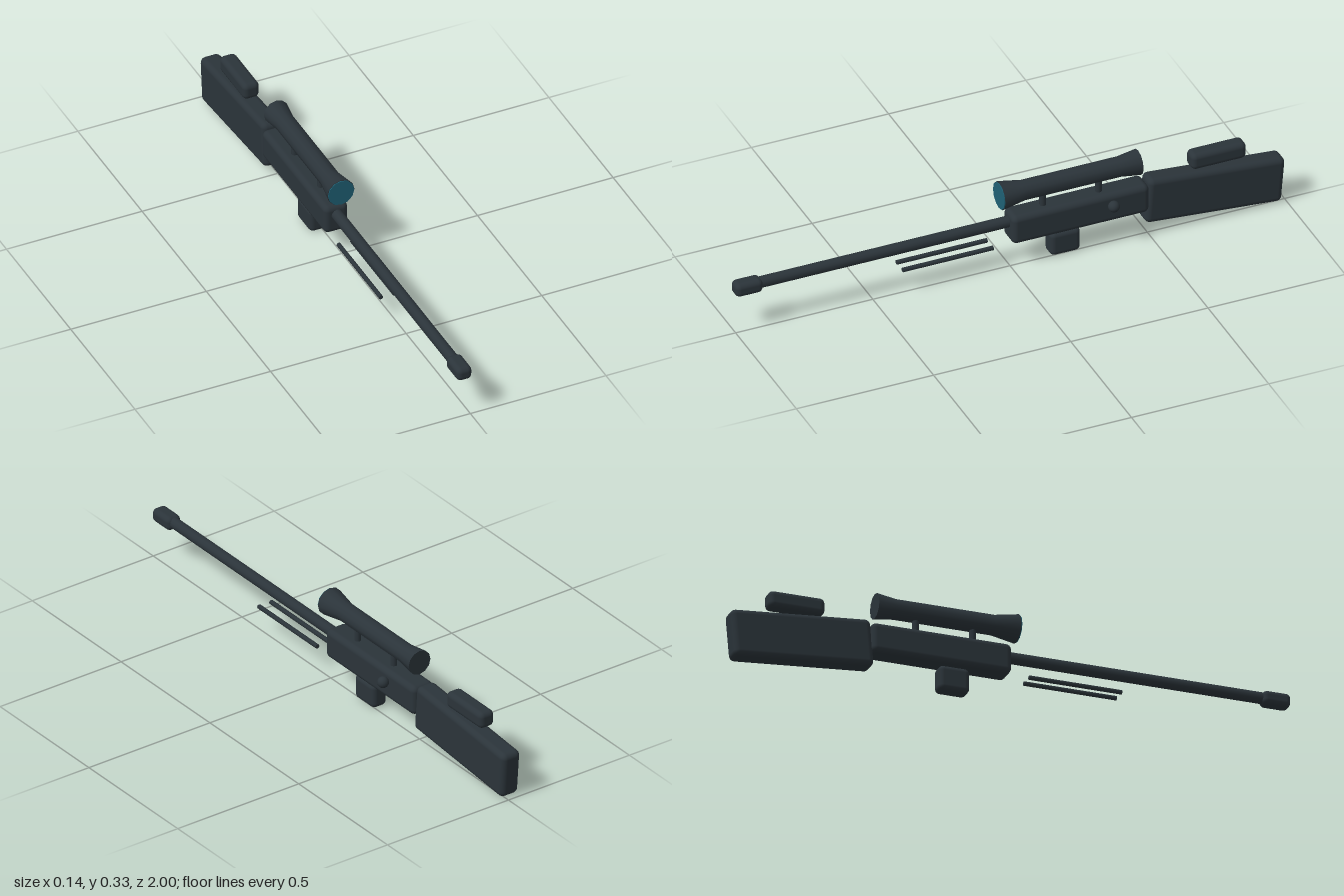
import * as THREE from 'three';
import { RoundedBoxGeometry } from 'three/addons/geometries/RoundedBoxGeometry.js';
import { toCreasedNormals } from 'three/addons/utils/BufferGeometryUtils.js';

export function createModel() {
  const gunmetal = new THREE.MeshStandardMaterial({ color: 0x2b343a });
  gunmetal.name = 'gunmetal';
  const lensBlue = new THREE.MeshStandardMaterial({ color: 0x1f6175 });
  lensBlue.name = 'lensBlue';

  const model = new THREE.Group();
  model.name = 'rifle';
  const axis = -0.018; // shared centre line of the barrel, body and scope

  function add(name, geometry, x, y, z, material = gunmetal) {
    const mesh = new THREE.Mesh(geometry, material);
    mesh.name = name;
    mesh.position.set(x, y, z);
    model.add(mesh);
    return mesh;
  }
  const block = (name, w, h, d, r, y, z) =>
    add(name, new RoundedBoxGeometry(w, h, d, 3, r), axis, y, z);
  // Cylinder lying along z
  const rod = (r, length, sides) =>
    new THREE.CylinderGeometry(r, r, length, sides).rotateX(Math.PI / 2);

  // Body, stock and blocks
  block('receiver', 0.088, 0.108, 0.5, 0.02, 0.151, -0.25);
  block('stock', 0.075, 0.17, 0.5, 0.02, 0.111, -0.743).rotation.x = -0.085;
  block('cheekRest', 0.06, 0.06, 0.2, 0.018, 0.239, -0.76);
  block('magazine', 0.06, 0.09, 0.11, 0.018, 0.049, -0.2);

  // Barrel and muzzle
  add('barrel', rod(0.02, 0.95, 12), axis, 0.17, 0.455);
  block('muzzle', 0.056, 0.05, 0.1, 0.018, 0.168, 0.95);

  // Folded support legs
  for (const side of [-1, 1]) {
    add(side < 0 ? 'rightLeg' : 'leftLeg', rod(0.008, 0.33, 8), axis + side * 0.025, 0.097, 0.23);
  }

  // Bolt knob
  add('boltKnob', new THREE.SphereGeometry(0.02, 16, 12), 0.047, 0.173, -0.358);

  // Scope tube flaring at both ends
  const profile = [
    [0, -0.475], [0.045, -0.475], [0.035, -0.405], [0.035, -0.055], [0.05, 0.03], [0, 0.03],
  ].map(([r, z]) => new THREE.Vector2(r, z));
  const scope = toCreasedNormals(new THREE.LatheGeometry(profile, 12).rotateX(Math.PI / 2), 0.6);
  add('scope', scope, axis, 0.281, 0);
  add('frontLens', rod(0.048, 0.004, 12), axis, 0.281, 0.031, lensBlue);

  // Scope mounts
  for (const z of [-0.127, -0.33]) {
    add('scopeMount', new THREE.CylinderGeometry(0.012, 0.012, 0.065, 10), axis, 0.226, z);
  }

  return model;
}
